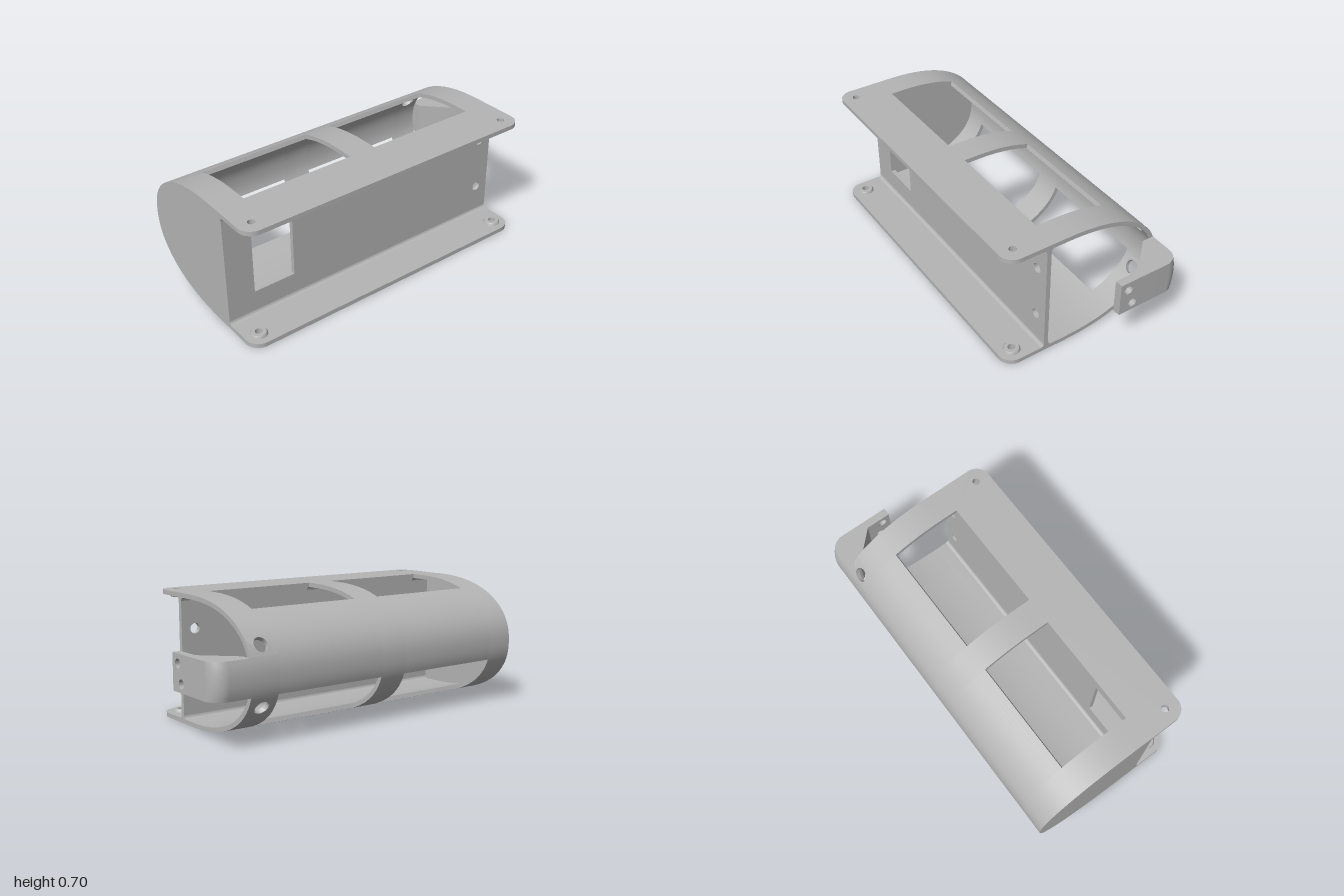
import * as THREE from 'three';
import { toCreasedNormals } from 'three/addons/utils/BufferGeometryUtils.js';

const T = 0.025;                       // sheet thickness
const H = 0.705, MID = H / 2;          // overall height, middle height
const X0 = -1, X1 = 0.79;              // ends of the shell
const ZF = 0.12, DEPTH = 0.585;        // where the curve starts, how deep it goes
const N = 2.25;                        // fullness of the rear curve
const WINDOWS = [[-0.84, -0.19], [-0.03, 0.63]];
const SCREWS = [[-0.92, 0.383], [0.71, 0.383]];

// Point on the rear curve as (-z, y); a = 0 is the top, PI the bottom, t the outward offset
function curvePoint(a, t = 0) {
  const s = Math.max(Math.sin(a), 0), c = Math.cos(a), e = 2 / N;
  const n = new THREE.Vector2(s ** (2 - e) / DEPTH, Math.sign(c) * Math.abs(c) ** (2 - e) / MID).normalize();
  return new THREE.Vector2(-ZF + DEPTH * s ** e, MID + MID * Math.sign(c) * Math.abs(c) ** e).addScaledVector(n, t);
}
const angleAtZ = z => Math.asin(((ZF - z) / DEPTH) ** (N / 2));
const angleAtY = y => {
  const k = (y - MID) / MID;
  return Math.acos(Math.sign(k) * Math.abs(k) ** (N / 2));
};
function curve(a0, a1, t) {
  const n = Math.max(3, Math.ceil((a1 - a0) * 22));
  return Array.from({ length: n + 1 }, (_, i) => curvePoint(a0 + (a1 - a0) * i / n, t));
}

const v = (x, y) => new THREE.Vector2(x, y);
const polygon = pts => new THREE.Shape(pts.map(p => (p.isVector2 ? p : v(...p))));
const circle = (x, y, r) => new THREE.Path().absarc(x, y, r, 0, Math.PI * 2, true);
const extrude = (shape, depth, steps = 1) =>
  new THREE.ExtrudeGeometry(shape, { depth, steps, bevelEnabled: false, curveSegments: 20 });
// Shape in (-z, y) pushed along x; shape in (x, -z) pushed along y
const alongX = (shape, x0, x1) => extrude(shape, x1 - x0).rotateY(Math.PI / 2).translate(x0, 0, 0);
const alongY = (shape, y0, y1, steps) => extrude(shape, y1 - y0, steps).rotateX(-Math.PI / 2).translate(0, y0, 0);

export function createModel() {
  const model = new THREE.Group();
  model.name = 'housing';
  const grey = new THREE.MeshStandardMaterial({ color: 0xb5b5b5 });
  grey.name = 'grey';
  const add = (name, geometry, parent = model) => {
    const mesh = new THREE.Mesh(toCreasedNormals(geometry, 0.5), grey);
    mesh.name = name;
    parent.add(mesh);
    return mesh;
  };

  // Curved rear shell, in bands along x with gaps for the windows
  const shell = new THREE.Group();
  shell.name = 'curvedShell';
  model.add(shell);
  const strip = (x0, x1, a0, a1) => add('shellStrip',
    alongX(polygon([...curve(a0, a1, -T), ...curve(a0, a1, 0).reverse()]), x0, x1), shell);
  const [[w0, w1], [w2, w3]] = WINDOWS;
  strip(X0, w0, 0, Math.PI);
  strip(w1, w2, 0, Math.PI);
  for (const [a, b] of WINDOWS) {
    strip(a, b, angleAtZ(-0.22), angleAtY(0.26));
    strip(a, b, Math.PI - angleAtZ(-0.208), Math.PI);
  }

  // Last band with a round access hole above and below
  const mid = angleAtY(0.51), half = 0.06;
  const arc = curvePoint(mid + 0.01).distanceTo(curvePoint(mid - 0.01)) / 0.02;
  const h0 = mid - half / arc, h1 = mid + half / arc;
  strip(w3, X1, 0, h0);
  strip(w3, X1, h1, Math.PI - h1);
  strip(w3, X1, Math.PI - h0, Math.PI);
  for (const centre of [mid, Math.PI - mid]) {
    const pts = [];
    for (let i = 0; i <= 4; i++) pts.push(v(X1, -half + half * i / 2));
    for (let i = 4; i >= 0; i--) pts.push(v(w3, -half + half * i / 2));
    const shape = polygon(pts);
    shape.holes.push(circle(0.71, 0, 0.04));
    const g = extrude(shape, T);
    const p = g.attributes.position;
    for (let i = 0; i < p.count; i++) {
      const q = curvePoint(centre + p.getY(i) / arc, p.getZ(i) - T);
      p.setXYZ(i, p.getX(i), q.y, -q.x);
    }
    add('accessHolePatch', g, shell);
  }

  // Flat top and bottom plates with rounded front corners and screw holes
  const plate = notched => {
    const s = new THREE.Shape(), zf = 0.465, r = 0.08;
    s.moveTo(X0, -ZF);
    s.lineTo(X0, -zf + r);
    s.absarc(X0 + r, -zf + r, r, Math.PI, Math.PI * 1.5, false);
    s.absarc(X1 - r, -zf + r, r, Math.PI * 1.5, Math.PI * 2, false);
    s.lineTo(X1, -ZF);
    if (notched) for (const [a, b] of [...WINDOWS].reverse()) {
      s.lineTo(b, -ZF);
      s.lineTo(b, -0.19);
      s.lineTo(a, -0.19);
      s.lineTo(a, -ZF);
    }
    s.closePath();
    for (const [x, z] of SCREWS) s.holes.push(circle(x, -z, 0.02));
    return s;
  };
  add('topPlate', alongY(plate(true), H - T, H));
  add('bottomPlate', alongY(plate(false), 0, T));

  // Raised rings around the screw holes, on the inner faces
  const ring = [[0.047, 0], [0.045, 0.008], [0.04, 0.015], [0.02, 0.015], [0.02, 0]].map(p => v(...p));
  for (const [x, z] of SCREWS) {
    for (const top of [false, true]) {
      const boss = add('screwBoss', new THREE.LatheGeometry(ring, 32));
      boss.position.set(x, top ? H - T : T, z);
      if (top) boss.rotation.x = Math.PI;
    }
  }

  // Front wall with a rectangular opening and two round holes
  const wall = polygon([[X0, T], [X1, T], [X1, H - T], [X0, H - T]]);
  wall.holes.push(new THREE.Path([v(-0.84, 0.16), v(-0.84, 0.55), v(-0.595, 0.55), v(-0.595, 0.16)]));
  for (const y of [0.2, 0.51]) wall.holes.push(circle(0.71, y, 0.028));
  add('frontWall', extrude(wall, T).translate(0, 0, 0.21));

  // Small fillets where the wall meets the plates
  for (const [z, dz] of [[0.21, -1], [0.235, 1]]) {
    for (const [y, dy] of [[T, 1], [H - T, -1]]) {
      if (dz < 0 && dy < 0) {
        // top inner fillet only runs between and beside the windows
        for (const [a, b] of [[X0, w0], [w1, w2], [w3, X1]]) fillet(z, dz, y, dy, a, b);
      } else fillet(z, dz, y, dy, X0, X1);
    }
  }
  function fillet(z, dz, y, dy, a, b) {
    const r = 0.018, pts = [v(-z, y)];
    for (let i = 0; i <= 5; i++) {
      const k = i / 5 * Math.PI / 2;
      pts.push(v(-(z + dz * r * (1 - Math.sin(k))), y + dy * r * (1 - Math.cos(k))));
    }
    add('wallFillet', alongX(polygon(pts), a, b));
  }

  // Closed end cap
  add('endCap', alongX(polygon([[-0.235, H - 0.01], [-0.235, 0.01],
    ...curve(0, Math.PI, -0.01).reverse()]), X0, X0 + T));

  // Hooked bracket at the open end: gusset with a rounded rear corner
  const yb = 0.26, yt = 0.455, r = 0.085;
  const hook = new THREE.Shape();
  hook.moveTo(X1, 0.38);
  hook.lineTo(0.955, 0.215);
  hook.lineTo(1, 0.215);
  hook.absarc(1 - r, 0.465 - r, r, 0, Math.PI / 2, false);
  hook.lineTo(X1, 0.465);
  hook.closePath();
  const arm = alongY(hook, yb, yt, 10);
  const p = arm.attributes.position;
  // the back of the arm follows the curve of the shell
  for (let i = 0; i < p.count; i++) {
    if (p.getZ(i) < -0.385) p.setZ(i, p.getZ(i) + 0.465 - curvePoint(angleAtY(p.getY(i))).x);
  }
  add('bracketArm', arm);

  // Bracket tip with two holes
  const tip = polygon([[0.07, yb], [0.215, yb], [0.215, yt], [0.07, yt]]);
  tip.holes.push(circle(0.12, 0.404, 0.025), circle(0.152, 0.305, 0.025));
  add('bracketTip', alongX(tip, 0.955, 1));

  return model;
}
